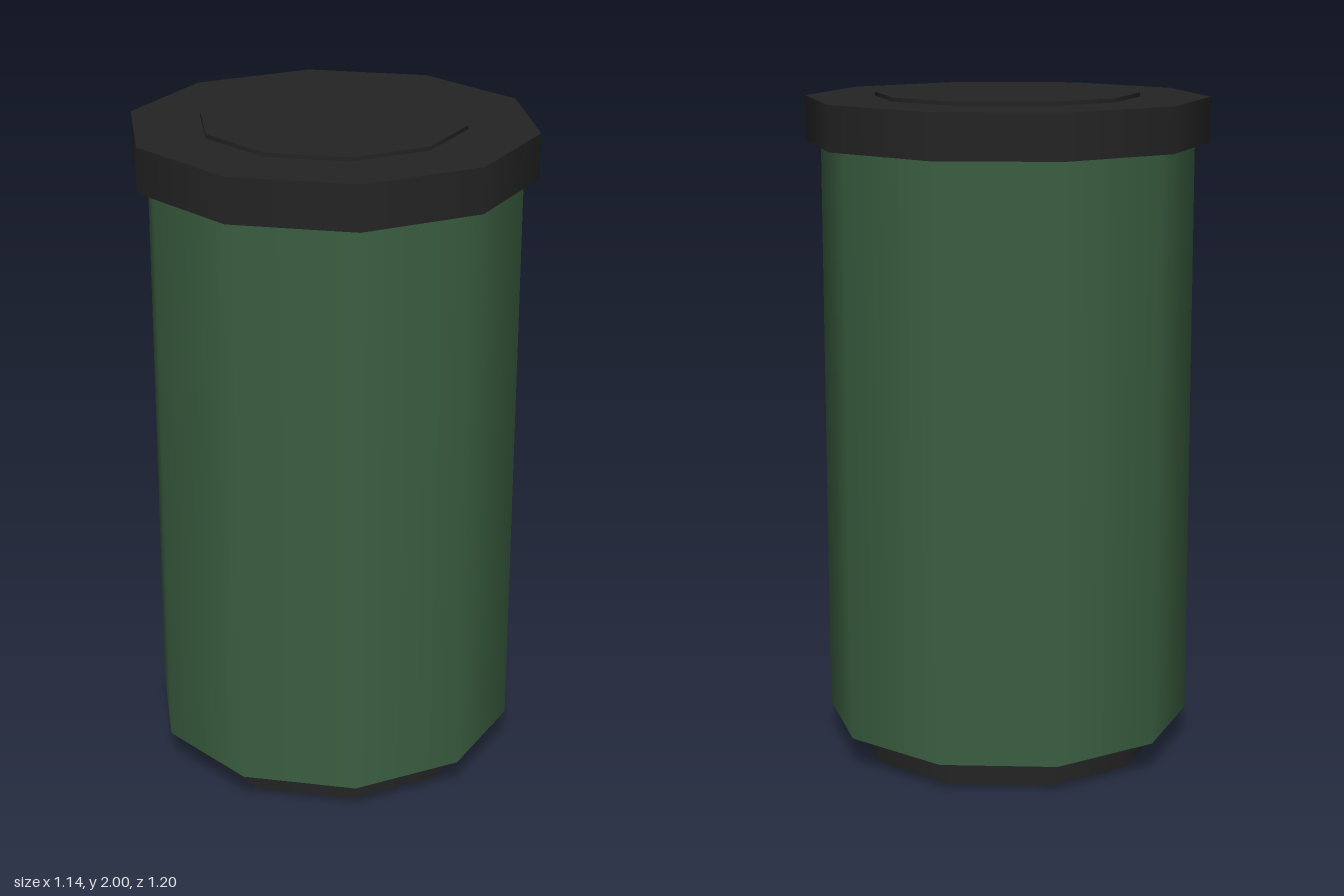
import * as THREE from 'three';

const SIDES = 10;

export function createModel() {
  const model = new THREE.Group();
  model.name = 'canister';

  const green = new THREE.MeshStandardMaterial({ color: 0x3b5f41 });
  green.name = 'dark green';
  const black = new THREE.MeshStandardMaterial({ color: 0x242424 });
  black.name = 'near black';

  // Ten-sided drum between two heights, with a corner facing the front
  const addDrum = (name, radius, bottom, top, material) => {
    const geometry = new THREE.CylinderGeometry(radius, radius, top - bottom, SIDES);
    const mesh = new THREE.Mesh(geometry, material);
    mesh.name = name;
    mesh.position.y = (bottom + top) / 2;
    model.add(mesh);
  };

  addDrum('base', 0.463, 0, 0.095, black);
  addDrum('body', 0.555, 0.095, 1.855, green);
  addDrum('lid', 0.6, 1.855, 1.988, black);
  addDrum('lidDisc', 0.392, 1.988, 2, black);

  return model;
}
